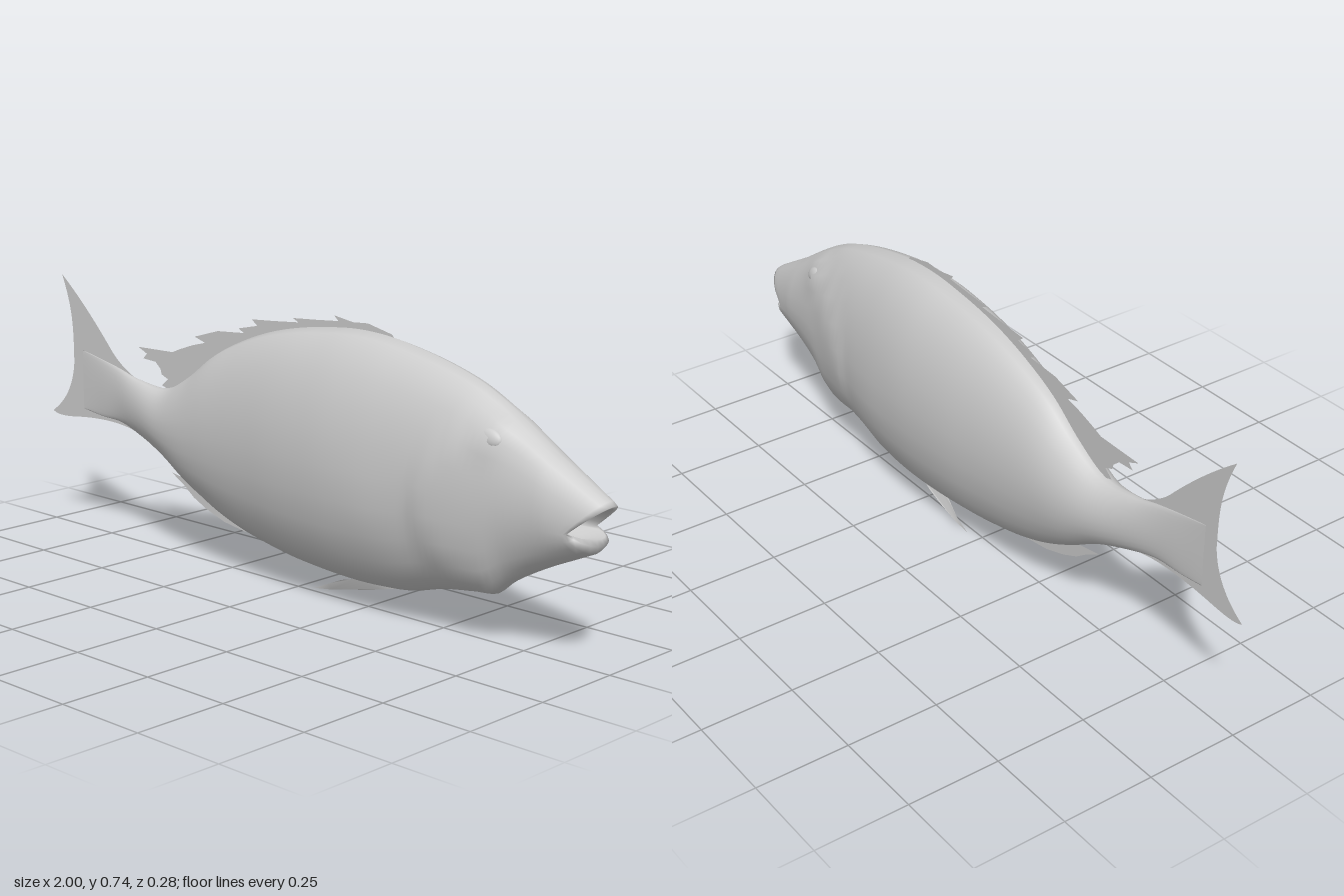
import * as THREE from 'three';

const SIDES = 24;
const material = new THREE.MeshStandardMaterial({ color: 0xcccccc, side: THREE.DoubleSide });
const { lerp, smoothstep } = THREE.MathUtils;

// Body stations from tail to head: x, back height, belly height, half width
const stations = [
  [-0.86, 0.52, 0.35, 0.001], [-0.78, 0.505, 0.34, 0.006], [-0.7, 0.488, 0.335, 0.014],
  [-0.62, 0.468, 0.312, 0.03], [-0.5, 0.46, 0.265, 0.06], [-0.4, 0.51, 0.205, 0.08],
  [-0.3, 0.582, 0.155, 0.094], [-0.2, 0.63, 0.12, 0.106], [-0.1, 0.665, 0.097, 0.118],
  [0, 0.688, 0.08, 0.13], [0.1, 0.702, 0.07, 0.138], [0.2, 0.71, 0.064, 0.142],
  [0.3, 0.706, 0.064, 0.139], [0.4, 0.69, 0.074, 0.131], [0.5, 0.667, 0.1, 0.12],
  [0.6, 0.635, 0.115, 0.108], [0.67, 0.602, 0.125, 0.098], [0.72, 0.573, 0.165, 0.091],
  [0.78, 0.535, 0.2, 0.083], [0.84, 0.495, 0.23, 0.076]
];

function stationAt(x) {
  let i = 0;
  while (i < stations.length - 2 && stations[i + 1][0] < x) i++;
  const a = stations[i], b = stations[i + 1];
  const before = stations[Math.max(i - 1, 0)], after = stations[Math.min(i + 2, stations.length - 1)];
  const h = b[0] - a[0], t = (x - a[0]) / h;
  // Cubic interpolation through neighbouring stations
  return [1, 2, 3].map(k => {
    const m0 = (b[k] - before[k]) / (b[0] - before[0]) * h;
    const m1 = (after[k] - a[k]) / (after[0] - a[0]) * h;
    return a[k] * (2 * t ** 3 - 3 * t * t + 1) + m0 * (t ** 3 - 2 * t * t + t)
      + b[k] * (3 * t * t - 2 * t ** 3) + m1 * (t ** 3 - t * t);
  });
}

const bump = (x, y, cx, cy, rx, ry) => Math.exp(-(((x - cx) / rx) ** 2) - ((y - cy) / ry) ** 2);

// Point on the flank, with swellings for gill cover, brow and folded side fin
function bodyPoint(x, angle) {
  const [top, bottom, width] = stationAt(x);
  const s = Math.sin(angle);
  const y = (top + bottom) / 2 + (top - bottom) / 2 * Math.cos(angle);
  const gillEdge = Math.hypot((x - 0.74) / 0.26, (y - 0.33) / 0.24);
  const gill = 0.007 * (1 - smoothstep(gillEdge, 0.9, 1.06)) * smoothstep(gillEdge, 0.3, 0.9);
  const swelling = gill + 0.011 * bump(x, y, 0.69, 0.53, 0.045, 0.028)
    + 0.005 * bump(x, y, 0.34, 0.27, 0.09, 0.05);
  const z = Math.sign(s) * (width * Math.abs(s) ** 1.12 + swelling * Math.min(1, Math.abs(s) * 2));
  return [x, y, z];
}

// Mouth ring: two curved lips that meet at the corners
function lipPoint(top, corner, bottom, angle) {
  const c = Math.PI * 0.58;
  const a = angle > Math.PI ? 2 * Math.PI - angle : angle;
  const upper = a < c;
  const u = (upper ? a / c : (Math.PI - a) / (Math.PI - c)) * Math.PI / 2;
  const tip = upper ? top : bottom;
  return [
    lerp(corner[0], tip[0], Math.cos(u)),
    lerp(corner[1], tip[1], Math.cos(u)),
    corner[2] * Math.sin(u) * (angle > Math.PI ? -1 : 1)
  ];
}

function loft(rings) {
  const index = [];
  for (let i = 0; i < rings.length - 1; i++) {
    for (let j = 0; j < SIDES; j++) {
      const a = i * SIDES + j, b = i * SIDES + (j + 1) % SIDES;
      index.push(a, b, a + SIDES, b, b + SIDES, a + SIDES);
    }
  }
  const geometry = new THREE.BufferGeometry();
  geometry.setAttribute('position', new THREE.Float32BufferAttribute(rings.flat(2), 3));
  geometry.setIndex(index);
  geometry.computeVertexNormals();
  return geometry;
}

function bodyGeometry() {
  const ring = f => Array.from({ length: SIDES }, (_, j) => f(j / SIDES * Math.PI * 2));
  const rings = [];
  for (let i = 0; i <= 90; i++) {
    const x = lerp(-0.86, 0.84, i / 90);
    rings.push(ring(a => bodyPoint(x, a)));
  }
  // Snout, lip edge and hollow mouth
  const outer = a => lipPoint([0.985, 0.41], [0.9, 0.328, 0.064], [0.952, 0.28], a);
  for (let i = 1; i <= 5; i++) {
    rings.push(ring(a => {
      const p = bodyPoint(0.84, a), q = outer(a);
      return p.map((v, k) => lerp(v, q[k], i / 5));
    }));
  }
  rings.push(ring(a => lipPoint([0.997, 0.4], [0.907, 0.328, 0.06], [0.972, 0.302], a)));
  rings.push(ring(a => lipPoint([0.985, 0.392], [0.9, 0.326, 0.051], [0.965, 0.318], a)));
  rings.push(ring(a => lipPoint([0.9, 0.385], [0.85, 0.335, 0.042], [0.89, 0.3], a)));
  rings.push(ring(a => lipPoint([0.76, 0.35], [0.76, 0.335, 0.012], [0.76, 0.32], a)));
  rings.push(ring(() => [0.75, 0.335, 0]));
  return loft(rings);
}

function add(group, name, geometry) {
  const mesh = new THREE.Mesh(geometry, material);
  mesh.name = name;
  group.add(mesh);
  return mesh;
}

const finGeometry = points =>
  new THREE.ShapeGeometry(new THREE.Shape(points.map(p => new THREE.Vector2(...p))));

export function createModel() {
  const fish = new THREE.Group();
  fish.name = 'fish';
  add(fish, 'body', bodyGeometry());

  // Forked tail with a tall upper lobe
  const tail = new THREE.Shape();
  tail.moveTo(-0.6, 0.46);
  tail.quadraticCurveTo(-0.67, 0.475, -0.73, 0.53);
  tail.quadraticCurveTo(-0.84, 0.65, -0.945, 0.73);
  tail.bezierCurveTo(-0.9, 0.63, -0.9, 0.58, -0.9, 0.48);
  tail.quadraticCurveTo(-0.91, 0.38, -1, 0.325);
  tail.quadraticCurveTo(-0.98, 0.31, -0.9, 0.32);
  tail.quadraticCurveTo(-0.7, 0.345, -0.6, 0.305);
  add(fish, 'tailFin', new THREE.ShapeGeometry(tail, 16));

  // Ragged back fin, rooted inside the body
  add(fish, 'backFin', finGeometry([
    [0.34, 0.69], [0.32, 0.71], [0.24, 0.728], [0.19, 0.725], [0.125, 0.735], [0.14, 0.722],
    [0.06, 0.716], [-0.02, 0.711], [0.0, 0.702], [-0.09, 0.695], [-0.17, 0.69], [-0.15, 0.675],
    [-0.22, 0.66], [-0.2, 0.65], [-0.3, 0.643], [-0.39, 0.617], [-0.35, 0.605], [-0.4, 0.592],
    [-0.45, 0.575], [-0.48, 0.563], [-0.62, 0.56], [-0.585, 0.545], [-0.6, 0.53], [-0.55, 0.527],
    [-0.53, 0.51], [-0.525, 0.495], [-0.5, 0.485], [-0.525, 0.465], [-0.46, 0.445],
    [-0.38, 0.48], [-0.3, 0.55], [-0.15, 0.62], [0.05, 0.67]
  ]));

  // Swept fin under the tail
  add(fish, 'analFin', finGeometry([
    [-0.36, 0.2], [-0.42, 0.212], [-0.49, 0.225], [-0.44, 0.197], [-0.4, 0.168],
    [-0.35, 0.145], [-0.28, 0.122], [-0.2, 0.11], [-0.14, 0.12]
  ]));

  // Slender belly fin, curling sideways towards its tip
  const belly = finGeometry([
    [0.36, 0.09], [0.34, 0.066], [0.28, 0.05], [0.23, 0.036], [0.16, 0.022], [0.1, 0.008],
    [0.04, 0], [0.09, 0.022], [0.15, 0.048], [0.2, 0.062], [0.26, 0.085]
  ]);
  const p = belly.attributes.position;
  for (let i = 0; i < p.count; i++) p.setZ(i, -0.02 * (1 - smoothstep(p.getY(i), 0.015, 0.065)));
  belly.computeVertexNormals();
  add(fish, 'bellyFin', belly);

  // Eyes set into the brow swellings
  for (const side of [1, -1]) {
    const eye = add(fish, side > 0 ? 'leftEye' : 'rightEye', new THREE.SphereGeometry(0.028, 20, 12));
    eye.scale.set(1.15, 0.75, 0.4);
    eye.position.set(0.692, 0.522, side * 0.07);
    eye.rotation.set(-side * 0.3, side * 0.15, -0.25);
  }
  return fish;
}
